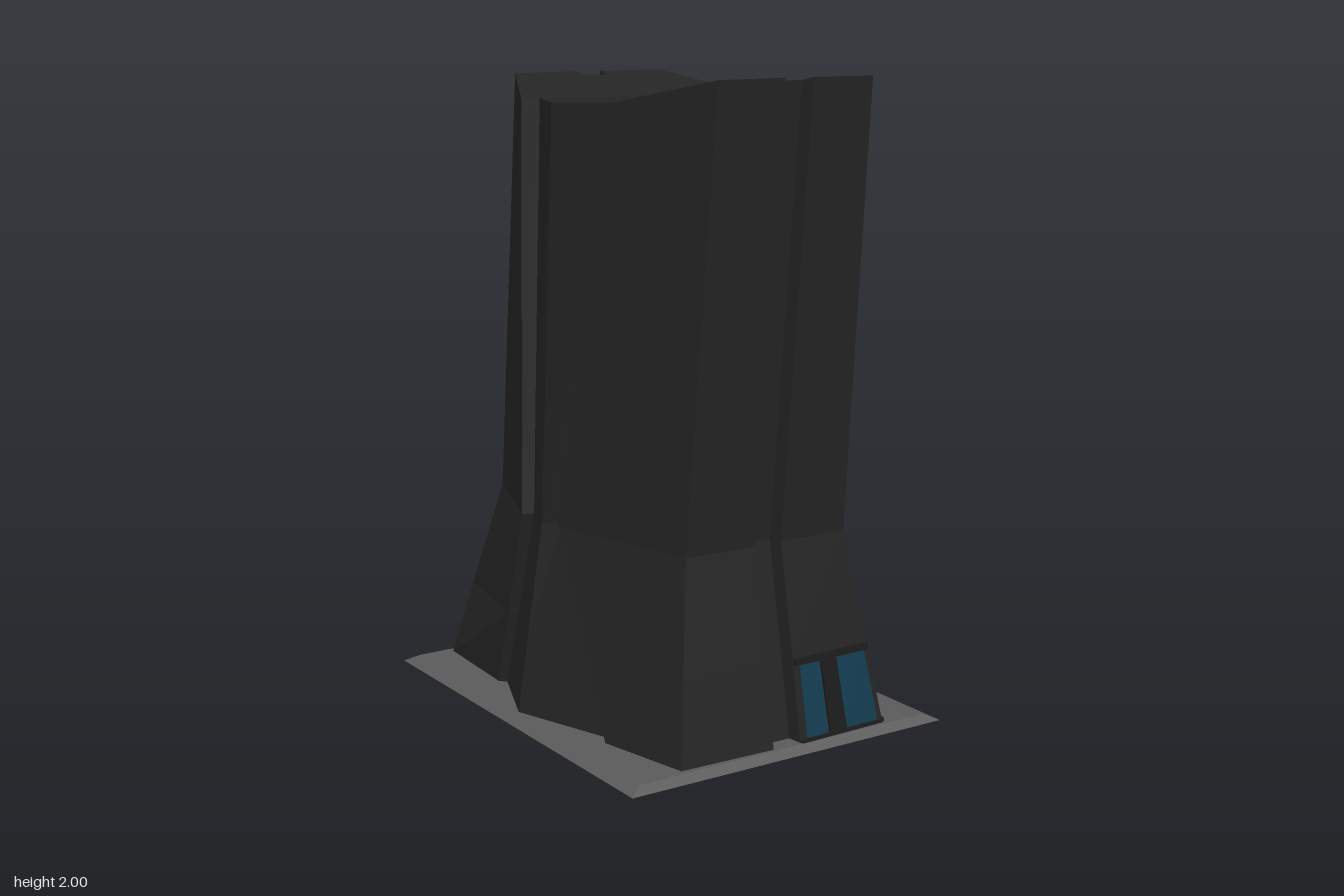
import * as THREE from 'three';

const mat = (name, color) => Object.assign(new THREE.MeshStandardMaterial({ color }), { name });

// Collects quads and triangles into one faceted mesh
function facets(name, material, build) {
  const pos = [];
  const tri = (a, b, c) => [a, b, c].forEach(p => pos.push(p.x, p.y, p.z));
  const quad = (a, b, c, d) => { tri(a, b, c); tri(a, c, d); };
  build(quad, tri);
  const g = new THREE.BufferGeometry();
  g.setAttribute('position', new THREE.Float32BufferAttribute(pos, 3));
  g.computeVertexNormals();
  const m = new THREE.Mesh(g, material);
  m.name = name;
  return m;
}

// Roof height dips between the tall front and the back
const roofKeys = [[-0.435, 1.98], [-0.145, 1.915], [0.08, 1.915], [0.345, 1.925], [0.7, 2]];
function roofY(z) {
  for (let i = 1; i < roofKeys.length; i++) {
    const [z0, y0] = roofKeys[i - 1], [z1, y1] = roofKeys[i];
    if (z <= z1) return THREE.MathUtils.lerp(y0, y1, (z - z0) / (z1 - z0));
  }
  return 2;
}

// Half outline from front centre to back centre; each [half width, z] at base, waist, top
const half = [
  [[0.045, 0.63], [0.045, 0.52], [0.045, 0.65]],    // 0 front groove floor
  [[0.05, 0.68], [0.05, 0.57], [0.05, 0.7]],        // 1 front groove edge
  [[0.375, 0.67], [0.29, 0.565], [0.27, 0.69]],     // 2 front corner
  [[0.44, 0.36], [0.42, 0.06], [0.395, 0.345]],     // 3 front slab rear edge
  [[0.41, 0.33], [0.395, 0.04], [0.365, 0.325]],    // 4 side panel start
  [[0.525, -0.02], [0.432, -0.02], [0.442, 0.08]],  // 5 side ridge
  [[0.415, -0.29], [0.4, -0.125], [0.36, -0.13]],   // 6 side panel end
  [[0.435, -0.31], [0.435, -0.14], [0.415, -0.145]],// 7 rear slab front edge
  [[0.415, -0.67], [0.285, -0.535], [0.275, -0.43]],// 8 rear corner
  [[0.415, -0.67], [0.285, -0.535], [0.275, -0.43]],// 9 rear corner (splits on one side)
  [[0.185, -0.69], [0.06, -0.54], [0.045, -0.435]], // 10 back groove edge
  [[0.05, -0.55], [0.05, -0.49], [0.045, -0.39]],   // 11 back groove floor
];
// The glazed side is steeper near the ground and has its rear corner cut off
const glazed = {
  5: { 0: [0.445, -0.02], 1: [0.45, -0.02], 3: [0.408, 0.08] },
  8: { 0: [0.44, -0.41], 1: [0.425, -0.425] },
  9: { 0: [0.16, -0.635], 1: [0.17, -0.62] },
  10: { 0: [0.145, -0.635], 1: [0.12, -0.6] },
};
const levelY = [0.015, 0.27, 0.62];

function sideLevels(s) {
  return half.map(([b, w, t], i) => {
    const mid = [0, 1].map(k => THREE.MathUtils.lerp(b[k], w[k], 0.417));
    return [b, mid, w, t].map((p, l) => {
      const [x, z] = (s > 0 && glazed[i] && glazed[i][l]) || p;
      return new THREE.Vector3(0.005 + s * x, l < 3 ? levelY[l] : roofY(z), z);
    });
  });
}

// Closed thin plate lying on a wall quad, within the given u and v range
function plate(quad, [a, b, c, d], [u0, u1], [v0, v1], thick) {
  const at = (u, v) => a.clone().lerp(b, u).lerp(d.clone().lerp(c, u), v);
  const n = b.clone().sub(a).cross(d.clone().sub(a)).normalize();
  const inner = [at(u0, v0), at(u1, v0), at(u1, v1), at(u0, v1)];
  const outer = inner.map(p => p.clone().addScaledVector(n, thick));
  quad(...outer);
  for (let i = 0; i < 4; i++) {
    const j = (i + 1) % 4;
    quad(inner[i], inner[j], outer[j], outer[i]);
  }
}

export function createModel() {
  const group = new THREE.Group();
  const wall = mat('charcoal wall', 0x242424);
  const trim = mat('dark trim', 0x1b1b1b);
  const glass = mat('blue glass', 0x123b50);
  const stone = mat('grey base', 0x5a5a5a);

  // Bevelled ground plinth
  const plinth = facets('plinth', stone, quad => {
    const ring = (x, y, z) => [[-1, 1], [1, 1], [1, -1], [-1, -1]].map(([i, k]) => new THREE.Vector3(i * x, y, k * z));
    const lo = ring(0.57, 0, 0.72), hi = ring(0.525, 0.02, 0.69);
    for (let i = 0; i < 4; i++) quad(lo[i], lo[(i + 1) % 4], hi[(i + 1) % 4], hi[i]);
    quad(...hi);
    quad(...lo.reverse());
  });

  // Tower walls lofted through the four levels
  const R = sideLevels(1), L = sideLevels(-1);
  const loop = [...R, ...L.slice().reverse()];
  const tower = facets('towerWalls', wall, quad => {
    loop.forEach((p, i) => {
      const q = loop[(i + 1) % loop.length];
      for (let l = 0; l < 3; l++) quad(p[l], q[l], q[l + 1], p[l + 1]);
    });
  });

  // Roof in three bands: front rise, middle dip, back rise
  const roof = facets('roof', wall, (quad, tri) => {
    for (const [a, b] of [[0, 3], [3, 7], [7, 11]]) {
      const pts = [...R.slice(a, b + 1), ...L.slice(a, b + 1).reverse()].map(p => p[3]);
      const flat = pts.map(p => new THREE.Vector2(p.x, -p.z));
      for (const [i, j, k] of THREE.ShapeUtils.triangulateShape(flat, [])) tri(pts[i], pts[j], pts[k]);
    }
  });

  // Glazing around the entrance corner: wall index, pane spans, height span
  const bays = [
    [1, [[0.08, 0.34], [0.56, 0.94]], [0.06, 0.91]],
    [2, [[0.1, 0.44], [0.54, 0.94]], [0.06, 0.91]],
    [4, [[0.06, 0.6], [0.68, 1]], [0.06, 0.9]],
    [5, [[0, 0.42], [0.54, 0.94]], [0.06, 0.9]],
    [8, [[0.08, 0.34], [0.39, 0.61], [0.66, 0.92]], [0.08, 0.7]],
  ];
  const patch = i => [R[i][0], R[i + 1][0], R[i + 1][1], R[i][1]];
  const panes = facets('windowPanes', glass, quad => {
    for (const [i, spans, v] of bays) for (const u of spans) plate(quad, patch(i), u, v, 0.003);
  });
  const frames = facets('windowFrames', trim, quad => {
    for (const [i, spans, v] of bays) {
      plate(quad, patch(i), [0.01, 0.99], [v[1] + 0.01, 1], 0.009);
      plate(quad, patch(i), [0.01, 0.99], [0, v[0] - 0.01], 0.009);
      for (let k = 1; k < spans.length; k++) {
        plate(quad, patch(i), [spans[k - 1][1] + 0.01, spans[k][0] - 0.01], v, 0.008);
      }
    }
  });

  // Low pointed sill below the side windows
  const sillShape = new THREE.Shape([[0.4, -0.33], [0.445, -0.33], [0.49, 0.02], [0.43, 0.29], [0.4, 0.29]]
    .map(([x, y]) => new THREE.Vector2(x, y)));
  const sill = new THREE.Mesh(new THREE.ExtrudeGeometry(sillShape, { depth: 0.015, bevelEnabled: false }), wall);
  sill.rotation.x = -Math.PI / 2;
  sill.position.y = 0.02;
  sill.name = 'sideSill';

  group.add(plinth, tower, roof, panes, frames, sill);
  return group;
}
